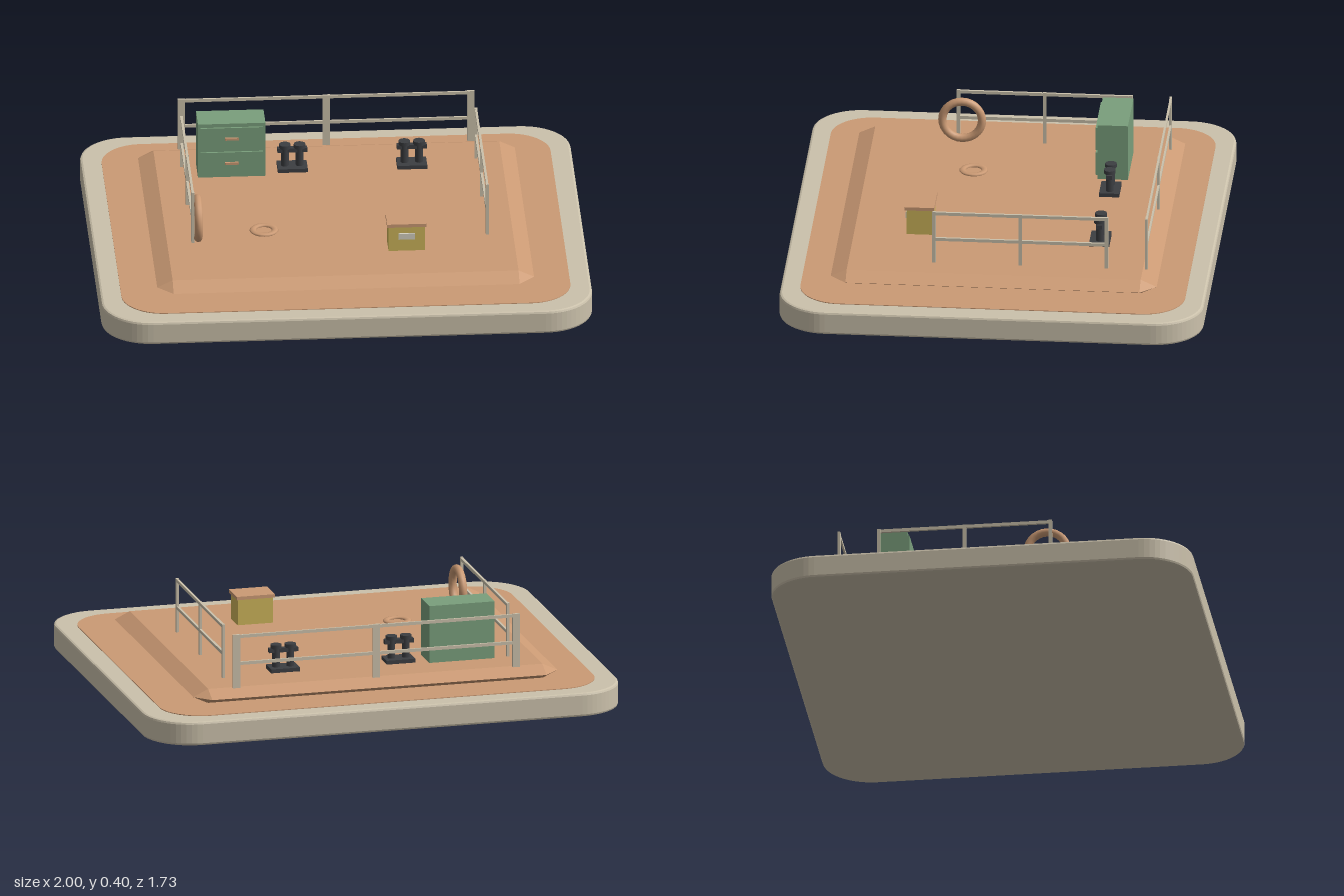
import * as THREE from 'three';
import { ConvexGeometry } from 'three/addons/geometries/ConvexGeometry.js';

const mat = (name, color) => {
  const m = new THREE.MeshStandardMaterial({ color });
  m.name = name;
  return m;
};

export function createModel() {
  const model = new THREE.Group();
  model.name = 'platform';
  const tan = mat('pale stone', 0xcbc1ab);
  const orange = mat('terracotta', 0xcb9a74);
  const green = mat('cabinet green', 0x7a9f7c);
  const yellow = mat('box yellow', 0xccb45a);
  const dark = mat('cast iron', 0x3c3e42);
  const pale = mat('label grey', 0xd4d0c0);

  const add = (name, geo, material, x = 0, y = 0, z = 0, parent = model) => {
    const m = new THREE.Mesh(geo, material);
    m.name = name;
    m.position.set(x, y, z);
    parent.add(m);
    return m;
  };
  const group = (name, x = 0, y = 0, z = 0) => {
    const g = new THREE.Group();
    g.name = name;
    g.position.set(x, y, z);
    model.add(g);
    return g;
  };
  const box = (w, h, d) => new THREE.BoxGeometry(w, h, d);

  // Horizontal slab with rounded corners, standing on y = 0
  const slab = (hx, hz, r, height, bevel) => {
    const x = hx - bevel, z = hz - bevel, c = r - bevel, s = new THREE.Shape();
    s.absarc(x - c, z - c, c, 0, Math.PI / 2);
    s.absarc(-x + c, z - c, c, Math.PI / 2, Math.PI);
    s.absarc(-x + c, -z + c, c, Math.PI, Math.PI * 1.5);
    s.absarc(x - c, -z + c, c, Math.PI * 1.5, Math.PI * 2);
    s.closePath();
    const geo = new THREE.ExtrudeGeometry(s, {
      depth: height - 2 * bevel, curveSegments: 7, bevelEnabled: bevel > 0,
      bevelSize: bevel, bevelThickness: bevel, bevelSegments: 2,
    });
    return geo.rotateX(-Math.PI / 2).translate(0, bevel, 0);
  };

  // Base and its coloured inlay
  add('base', slab(1, 0.865, 0.2, 0.1, 0.01), tan);
  add('inlay', slab(0.915, 0.785, 0.17, 0.004, 0), orange, 0, 0.099, 0);

  // Deck: knife-edged chamfered slab
  const pts = [];
  for (const sx of [-1, 1]) for (const sz of [-1, 1]) {
    pts.push(new THREE.Vector3(sx * 0.705, 0.16, sz * 0.6));
    pts.push(new THREE.Vector3(sx * 0.705, 0.1, sz * 0.6));
    pts.push(new THREE.Vector3(sx * 0.768, 0.13, sz * 0.6));
    pts.push(new THREE.Vector3(sx * 0.705, 0.13, sz * 0.665));
  }
  add('deck', new ConvexGeometry(pts), orange);

  // Back railing with flat posts
  const back = group('backRailing', 0, 0, -0.615);
  for (const x of [-0.59, 0, 0.59]) add('railPost', box(0.03, 0.225, 0.01), tan, x, 0.2725, 0, back);
  for (const y of [0.377, 0.263]) add('rail', box(1.2, 0.013, 0.008), tan, 0, y, 0, back);

  // Side railings
  for (const s of [-1, 1]) {
    const side = group(s > 0 ? 'leftRailing' : 'rightRailing', s * 0.6, 0, -0.1);
    for (const z of [-0.352, 0, 0.352]) add('railPost', box(0.012, 0.225, 0.014), tan, 0, 0.2725, z, side);
    for (const y of [0.377, 0.263]) add('rail', box(0.01, 0.013, 0.715), tan, 0, y, 0, side);
  }

  // Cabinet with two drawers
  const cabinet = group('cabinet', -0.4025, 0.16, -0.405);
  add('cabinetBody', box(0.275, 0.24, 0.125), green, 0, 0.12, 0, cabinet);
  for (const y of [0.064, 0.174]) {
    add('drawerFront', box(0.255, 0.1, 0.008), green, 0, y, 0.066, cabinet);
    add('drawerHandle', box(0.055, 0.01, 0.008), orange, 0, y + 0.002, 0.074, cabinet);
  }

  // Twin mooring bollards
  for (const x of [-0.152, 0.335]) {
    const b = group('bollard', x, 0.16, -0.405);
    add('bollardPlate', box(0.122, 0.016, 0.082), dark, 0, 0.008, 0, b);
    for (const s of [-1, 1]) {
      add('bollardPost', new THREE.CylinderGeometry(0.016, 0.016, 0.09, 12), dark, s * 0.03, 0.06, 0, b);
      add('bollardCap', new THREE.CylinderGeometry(0.024, 0.024, 0.016, 12), dark, s * 0.03, 0.102, 0, b);
    }
    add('bollardBar', box(0.122, 0.018, 0.024), dark, 0, 0.086, 0, b);
  }

  // Storage box with lid and label
  const crate = group('storageBox', 0.263, 0.16, 0.333);
  add('boxBody', box(0.148, 0.108, 0.106), yellow, 0, 0.054, 0, crate);
  add('boxLid', box(0.16, 0.014, 0.12), orange, 0, 0.115, 0, crate);
  add('boxLabel', box(0.066, 0.026, 0.008), pale, 0, 0.066, 0.056, crate);

  // Life ring hung inside the right railing
  const ring = new THREE.TorusGeometry(0.081, 0.017, 10, 28).rotateY(Math.PI / 2);
  add('lifeRing', ring, orange, -0.579, 0.26, 0.235);

  // Rope coil lying on the deck
  const coil = new THREE.TorusGeometry(0.045, 0.014, 8, 24).rotateX(Math.PI / 2).scale(1, 0.5, 1);
  add('ropeCoil', coil, orange, -0.304, 0.163, 0.165);

  return model;
}
